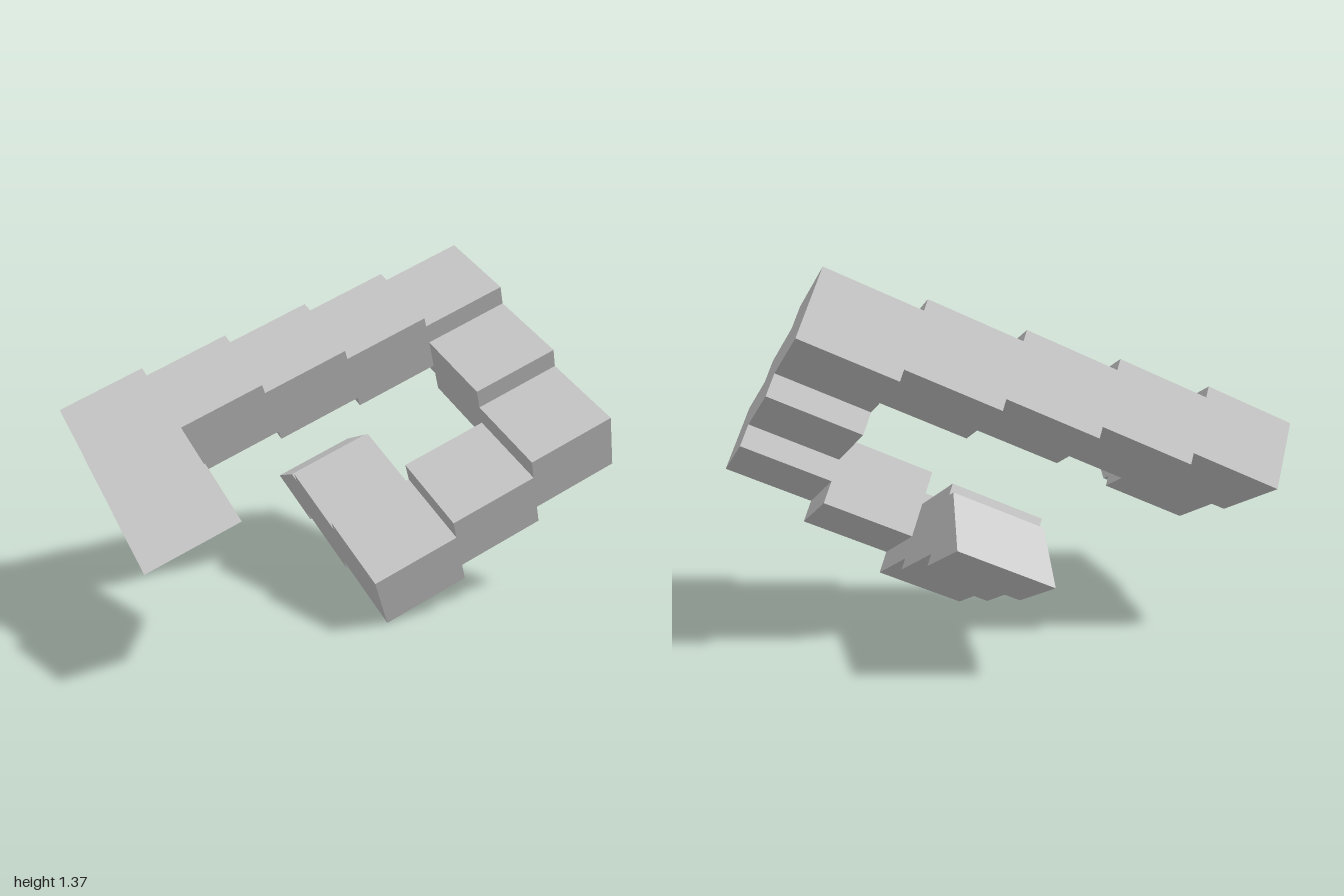
import * as THREE from 'three';

const SIZE = 0.35355;   // block footprint; local units below are blocks
const HEIGHT = 0.75;
const RISE = 0.125;     // height of one stair level

const material = new THREE.MeshStandardMaterial({ color: 0xcccccc, flatShading: true });

export function createModel() {
  const model = new THREE.Group();
  model.name = 'impossibleStaircase';

  const stairs = new THREE.Group();
  stairs.name = 'stairs';
  model.add(stairs);

  const place = (geometry, name, [x, z, level]) => {
    const mesh = new THREE.Mesh(geometry, material);
    mesh.name = name;
    mesh.position.set(x, level * RISE, z);
    stairs.add(mesh);
  };

  // Whole blocks as [x, z, level], descending around the loop
  const block = new THREE.BoxGeometry(1, HEIGHT, 1);
  const steps = [
    [0, 1, 1], [0, 0, 0],
    [1, 0, -1], [2, 0, -2], [3, 0, -3], [4, 0, -4],
    [4, 1, -6], [4, 2, -8],
    [3, 2, -10], [2, 2, -12],
    [2, 1, -13],
  ];
  steps.forEach((step, i) => place(block, `step${i + 1}`, step));

  // The two ends are one block split by a slanted plane; profile is [z, y]
  const wedge = (profile) => {
    const shape = new THREE.Shape(profile.map(([z, y]) => new THREE.Vector2(-z, y)));
    return new THREE.ExtrudeGeometry(shape, { depth: 1, bevelEnabled: false })
      .translate(0, 0, -0.5)
      .rotateY(Math.PI / 2);
  };
  const h = HEIGHT / 2;
  const cut = 0.375;
  place(wedge([[-0.5, h], [cut, h], [-cut, -h], [-0.5, -h]]), 'upperEndStep', [0, 2, 2]);
  place(wedge([[cut, h], [0.5, h], [0.5, -h], [-cut, -h]]), 'lowerEndStep', [2, 0, -14]);

  // Isometric tilt that makes the open loop appear closed from the front
  stairs.rotation.set(Math.atan(Math.SQRT1_2), Math.PI / 4, 0);
  stairs.scale.setScalar(SIZE);
  stairs.position.set(-0.75, 0.6856, 0.2424);
  return model;
}
